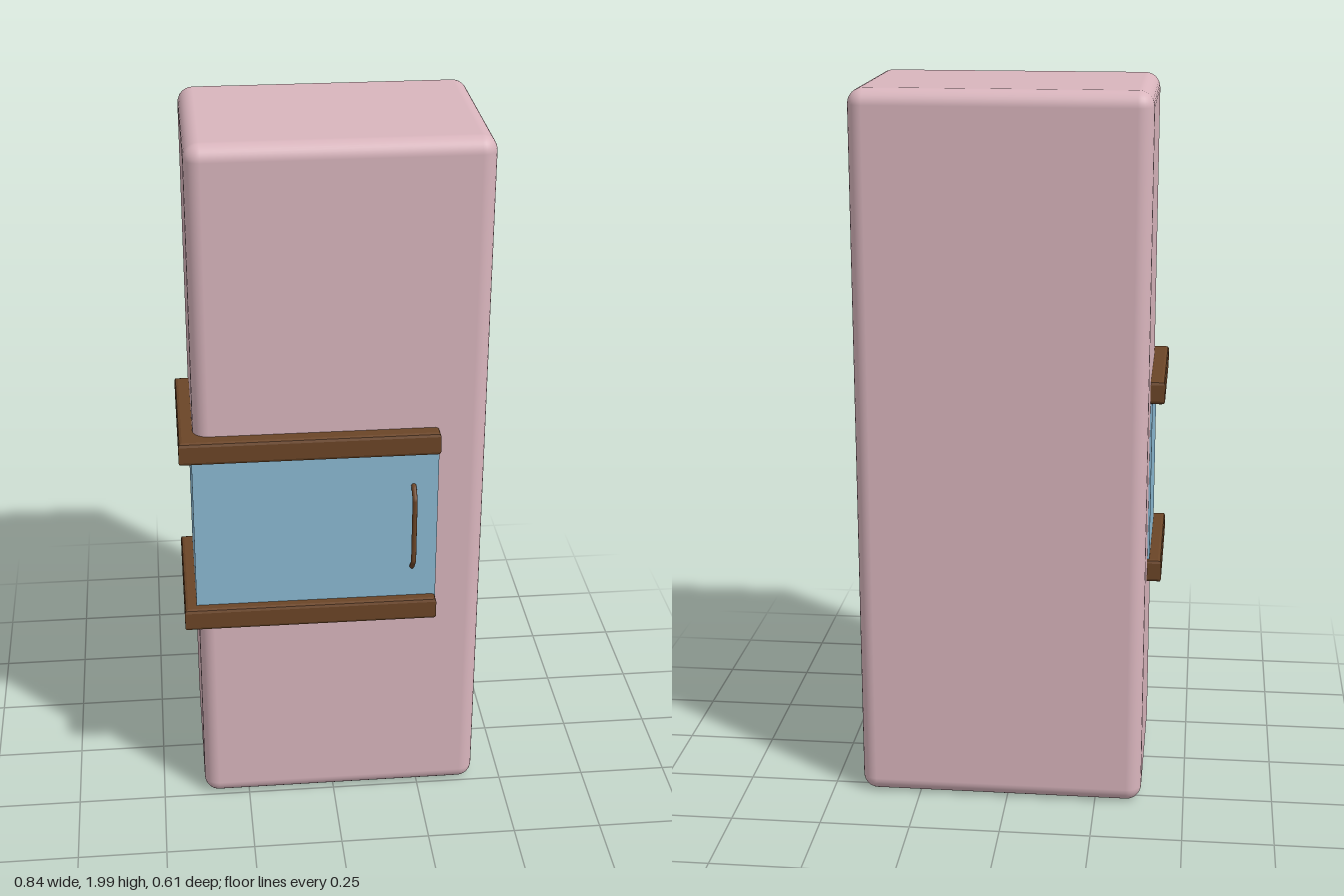
import * as THREE from 'three';
import { RoundedBoxGeometry } from 'three/addons/geometries/RoundedBoxGeometry.js';

export function createModel() {
  const group = new THREE.Group();
  const material = (name, color) => {
    const m = new THREE.MeshStandardMaterial({ color });
    m.name = name;
    return m;
  };
  const pink = material('pink', 0xd9b5bd);
  const blue = material('blue', 0x8bb9d3);
  const brown = material('brown', 0x6b4527);

  const add = (name, geometry, mat, x = 0, y = 0, z = 0) => {
    const mesh = new THREE.Mesh(geometry, mat);
    mesh.name = name;
    mesh.position.set(x, y, z);
    group.add(mesh);
    return mesh;
  };

  // Tall cabinet block with softened edges
  add('cabinetBody', new RoundedBoxGeometry(0.797, 1.994, 0.558, 4, 0.042), pink, 0.0185, 1.003, -0.026);

  // L-shaped rails wrapping the front and one side (shape drawn in x, -z)
  const bevel = 0.01;
  const rail = new THREE.Shape([
    [-0.42, -0.293], [0.285, -0.293], [0.285, -0.22],
    [-0.35, -0.22], [-0.35, 0.13], [-0.42, 0.13],
  ].map(([x, y]) => new THREE.Vector2(x, y)));
  const railGeometry = new THREE.ExtrudeGeometry(rail, {
    depth: 0.066 - 2 * bevel, bevelEnabled: true, bevelThickness: bevel,
    bevelSize: bevel, bevelOffset: -bevel, bevelSegments: 2,
  });
  railGeometry.rotateX(-Math.PI / 2);
  add('lowerRail', railGeometry, brown, 0, 0.611 + bevel, 0);
  add('upperRail', railGeometry, brown, 0, 1.131 + bevel, 0);

  // Window panels between the rails
  add('frontPanel', new THREE.BoxGeometry(0.669, 0.47, 0.03), blue, -0.0495, 0.905, 0.249);
  add('sidePanel', new THREE.BoxGeometry(0.03, 0.47, 0.384), blue, -0.371, 0.905, 0.072);

  // Bent bar handle
  const path = new THREE.CurvePath();
  const points = [
    [0.768, 0.255], [0.774, 0.27], [0.805, 0.296], [1.0, 0.296], [1.024, 0.27], [1.03, 0.255],
  ].map(([y, z]) => new THREE.Vector3(0.217, y, z));
  for (let i = 1; i < points.length; i++) path.add(new THREE.LineCurve3(points[i - 1], points[i]));
  add('handle', new THREE.TubeGeometry(path, 60, 0.007, 10, false), brown);

  return group;
}
